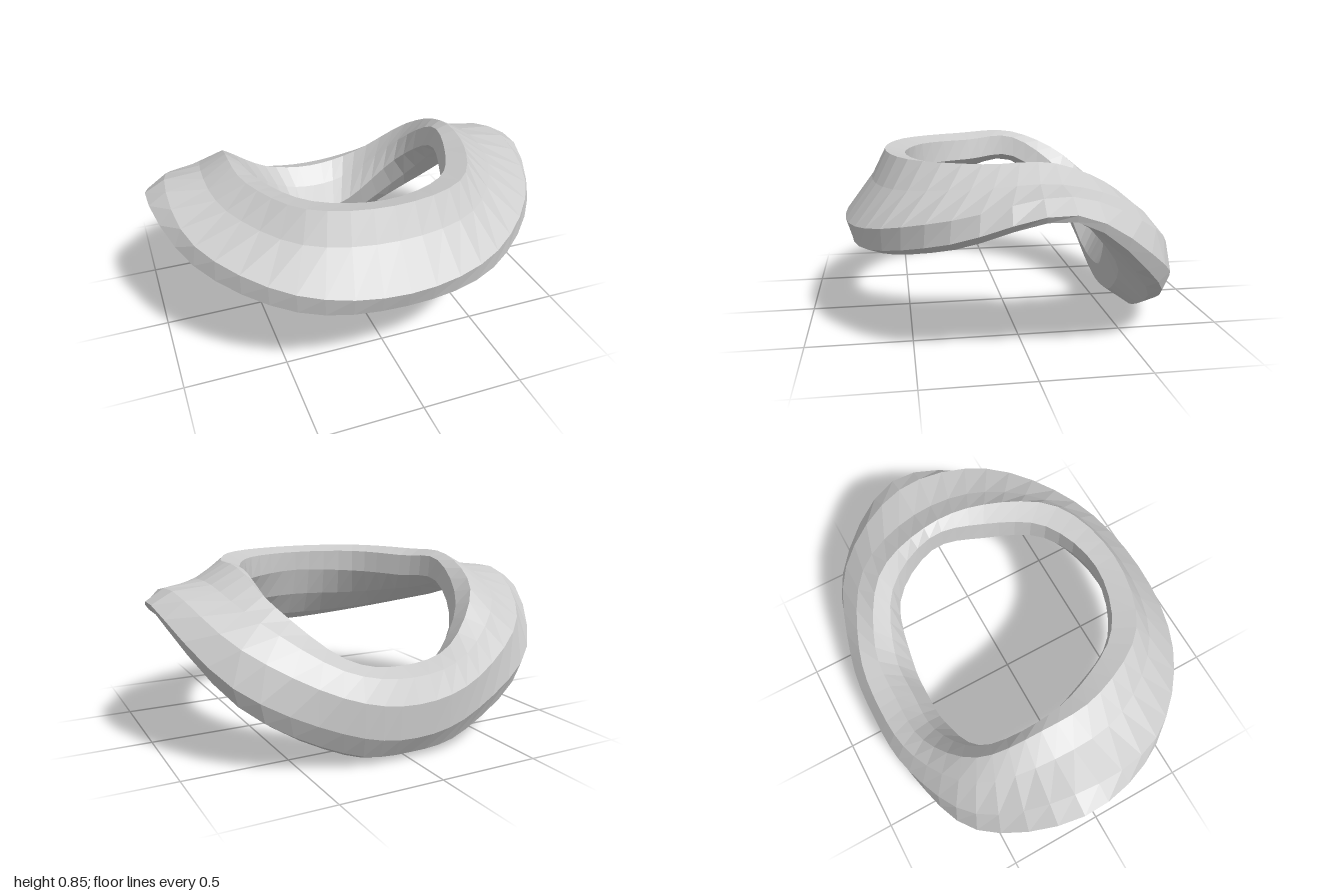
import * as THREE from 'three';

// Cross-sections [radius, height] every 30 degrees from front to back.
// Order: inner wall, inner crest, crest, flank, upper crease, outer edge, lower edge, underside x2.
const SECTIONS = [
  [[.655, .71], [.65, .815], [.75, .84], [.82, .70], [.96, .51], [.93, .42], [.84, .385], [.78, .43], [.70, .56]],
  [[.625, .70], [.63, .815], [.745, .84], [.83, .71], [.98, .55], [.97, .45], [.90, .42], [.82, .45], [.70, .56]],
  [[.535, .70], [.555, .81], [.65, .84], [.78, .75], [.98, .66], [1.0, .565], [.95, .53], [.85, .55], [.66, .61]],
  [[.53, .70], [.54, .81], [.59, .84], [.72, .77], [.90, .755], [1.0, .70], [.99, .67], [.88, .66], [.63, .66]],
  [[.51, .50], [.54, .62], [.61, .70], [.72, .65], [.85, .56], [.91, .41], [.88, .32], [.81, .28], [.62, .36]],
  [[.39, .25], [.47, .385], [.56, .48], [.65, .45], [.715, .35], [.715, .19], [.66, .08], [.57, .035], [.45, .11]],
  [[.35, .20], [.42, .33], [.51, .42], [.61, .39], [.66, .28], [.65, .12], [.59, .03], [.50, 0], [.39, .07]],
];
const CENTRE_Z = -0.15;
const STEPS = 48;

// Closed rail through one profile point of every section, mirrored left to right
function makeRail(j) {
  const points = [];
  for (let k = 0; k < 12; k++) {
    const [r, y] = SECTIONS[k <= 6 ? k : 12 - k][j];
    const a = k * Math.PI / 6;
    points.push(new THREE.Vector3(r * Math.sin(a), y, CENTRE_Z + r * Math.cos(a)));
  }
  return new THREE.CatmullRomCurve3(points, true, 'catmullrom', 0.5);
}

// Skin the rails into a closed ring
function makeRing() {
  const count = SECTIONS[0].length;
  const rails = Array.from({ length: count }, (_, j) => makeRail(j));
  const positions = [];
  const indices = [];
  for (let i = 0; i < STEPS; i++) {
    for (let j = 0; j < count; j++) {
      positions.push(...rails[j].getPoint(i / STEPS).toArray());
      const i2 = (i + 1) % STEPS;
      const j2 = (j + 1) % count;
      const a = i * count + j, b = i * count + j2;
      const c = i2 * count + j, d = i2 * count + j2;
      indices.push(a, b, c, b, d, c);
    }
  }
  const geometry = new THREE.BufferGeometry();
  geometry.setAttribute('position', new THREE.Float32BufferAttribute(positions, 3));
  geometry.setIndex(indices);
  geometry.computeVertexNormals();
  return geometry;
}

export function createModel() {
  const group = new THREE.Group();
  group.name = 'collar';
  const material = new THREE.MeshStandardMaterial({ color: 0xcccccc, flatShading: true });
  const ring = new THREE.Mesh(makeRing(), material);
  ring.name = 'collarRing';
  group.add(ring);
  return group;
}
